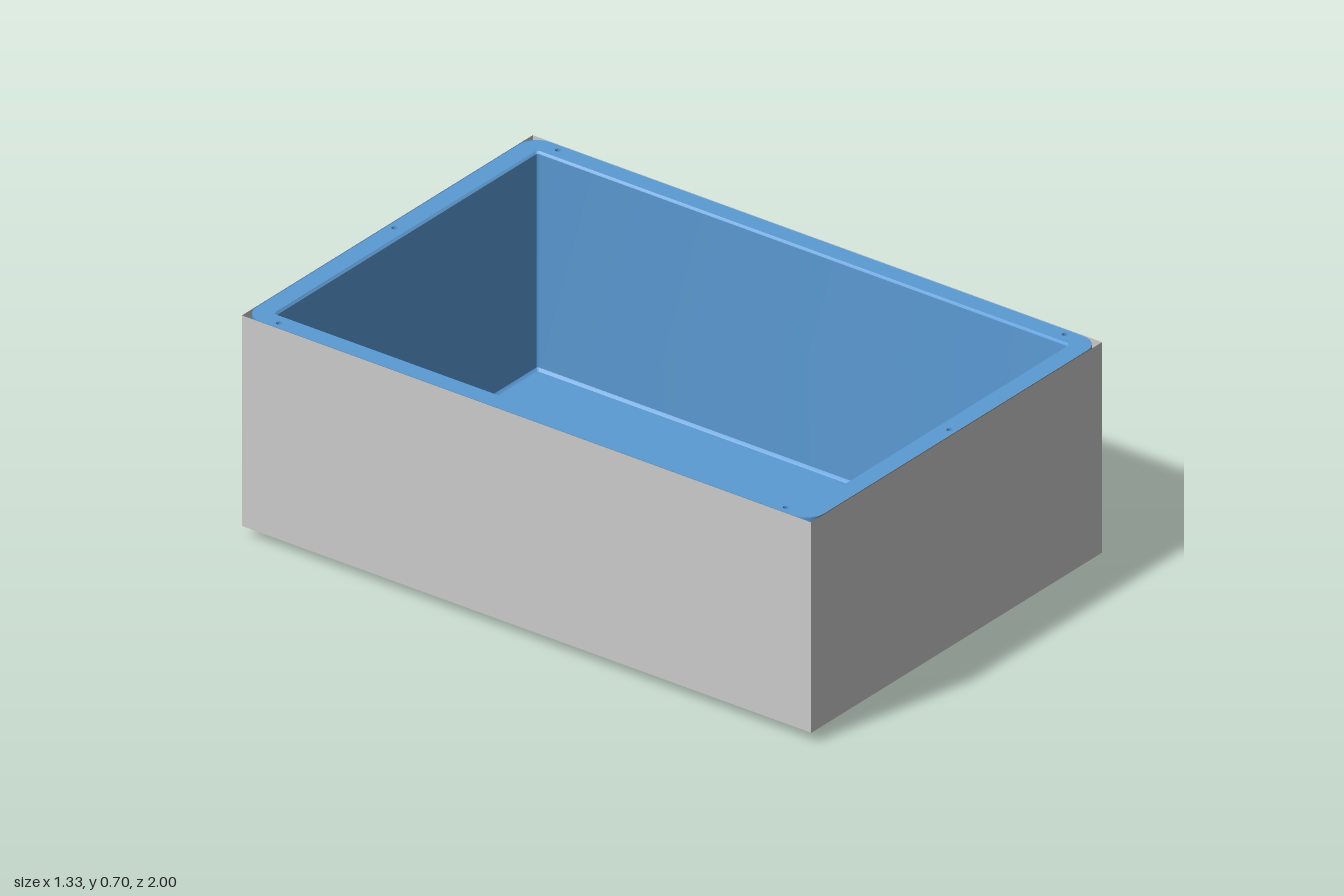
import * as THREE from 'three';
import { toCreasedNormals } from 'three/addons/utils/BufferGeometryUtils.js';

const HX = 0.667, HZ = 1, TOP = 0.7, BASE = 0.033;
const CORNER_STEPS = 8;

// Rounded rectangle outline as [x, z] points
function outline(hx, hz, r) {
  const points = [];
  const signs = [[1, 1], [-1, 1], [-1, -1], [1, -1]];
  signs.forEach(([sx, sz], k) => {
    for (let i = 0; i <= CORNER_STEPS; i++) {
      const a = (k + i / CORNER_STEPS) * Math.PI / 2;
      points.push([sx * (hx - r) + r * Math.cos(a), sz * (hz - r) + r * Math.sin(a)]);
    }
  });
  return points;
}

// Skin a run of rounded rectangles, each given as [hx, hz, radius, y]
function loft(sections) {
  const rings = sections.map(([hx, hz, r, y]) =>
    outline(hx, hz, r).map(([x, z]) => [x, y, z]));
  const positions = [];
  for (let s = 0; s < rings.length - 1; s++) {
    const a = rings[s], b = rings[s + 1];
    for (let i = 0; i < a.length; i++) {
      const j = (i + 1) % a.length;
      positions.push(...a[i], ...b[i], ...a[j], ...a[j], ...b[i], ...b[j]);
    }
  }
  const geometry = new THREE.BufferGeometry();
  geometry.setAttribute('position', new THREE.Float32BufferAttribute(positions, 3));
  return toCreasedNormals(geometry, 0.6);
}

export function createModel() {
  const group = new THREE.Group();
  const blue = new THREE.MeshStandardMaterial({ color: 0x5b9bd5 });
  const blueThin = new THREE.MeshStandardMaterial({ color: 0x5b9bd5, side: THREE.DoubleSide });
  const grey = new THREE.MeshStandardMaterial({ color: 0xcccccc, side: THREE.DoubleSide });
  const add = (name, geometry, material) => {
    const mesh = new THREE.Mesh(geometry, material);
    mesh.name = name;
    group.add(mesh);
    return mesh;
  };

  // Underside: raised base plate, step and rounded outer body
  const ox = HX - 0.003, oz = HZ - 0.003;
  add('outerBody', loft([
    [0, 0, 0, 0],
    [0.603, 0.936, 0.012, 0],
    [0.608, 0.941, 0.015, 0.006],
    [0.608, 0.941, 0.015, BASE],
    [ox, oz, 0.06, BASE],
    [ox, oz, 0.06, TOP],
  ]), blue);

  // Inside: chamfered mouth, straight walls and floor
  add('innerTray', loft([
    [0.605, 0.938, 0.014, TOP],
    [0.598, 0.931, 0.008, TOP - 0.006],
    [0.598, 0.931, 0.008, 0.018],
    [0.59, 0.923, 0.004, 0.01],
    [0, 0, 0, 0.01],
  ]), blue);

  // Flat rim with the tray opening and six screw holes
  const toVectors = (points) => points.map(([x, z]) => new THREE.Vector2(x, z));
  const rim = new THREE.Shape(toVectors(outline(ox, oz, 0.06)));
  rim.holes.push(new THREE.Path(toVectors(outline(0.605, 0.938, 0.014))));
  const screws = [[0, 0.975], [0, -0.975]];
  for (const sx of [-1, 1]) for (const sz of [-1, 1]) screws.push([sx * 0.64, sz * 0.89]);
  const holeRadius = 0.009, holeDepth = 0.06;
  for (const [x, z] of screws) {
    rim.holes.push(new THREE.Path().absarc(x, z, holeRadius, 0, Math.PI * 2, true));
  }
  add('rim', new THREE.ShapeGeometry(rim, 8).rotateX(-Math.PI / 2).translate(0, TOP, 0), blue);

  // Blind screw holes
  for (const [x, z] of screws) {
    add('screwHole', new THREE.CylinderGeometry(holeRadius, holeRadius, holeDepth, 16, 1, true), blueThin)
      .position.set(x, TOP - holeDepth / 2, z);
    add('screwHoleBottom', new THREE.CircleGeometry(holeRadius, 16).rotateX(-Math.PI / 2), blue)
      .position.set(x, TOP - holeDepth, z);
  }

  // Four thin square-cornered side panels
  for (let k = 0; k < 4; k++) {
    const side = k % 2;
    const panel = add('sidePanel', new THREE.PlaneGeometry(2 * (side ? HZ : HX), TOP - BASE), grey);
    const angle = k * Math.PI / 2, d = side ? HX : HZ;
    panel.position.set(Math.sin(angle) * d, (TOP + BASE) / 2, Math.cos(angle) * d);
    panel.rotation.y = angle;
  }
  return group;
}
